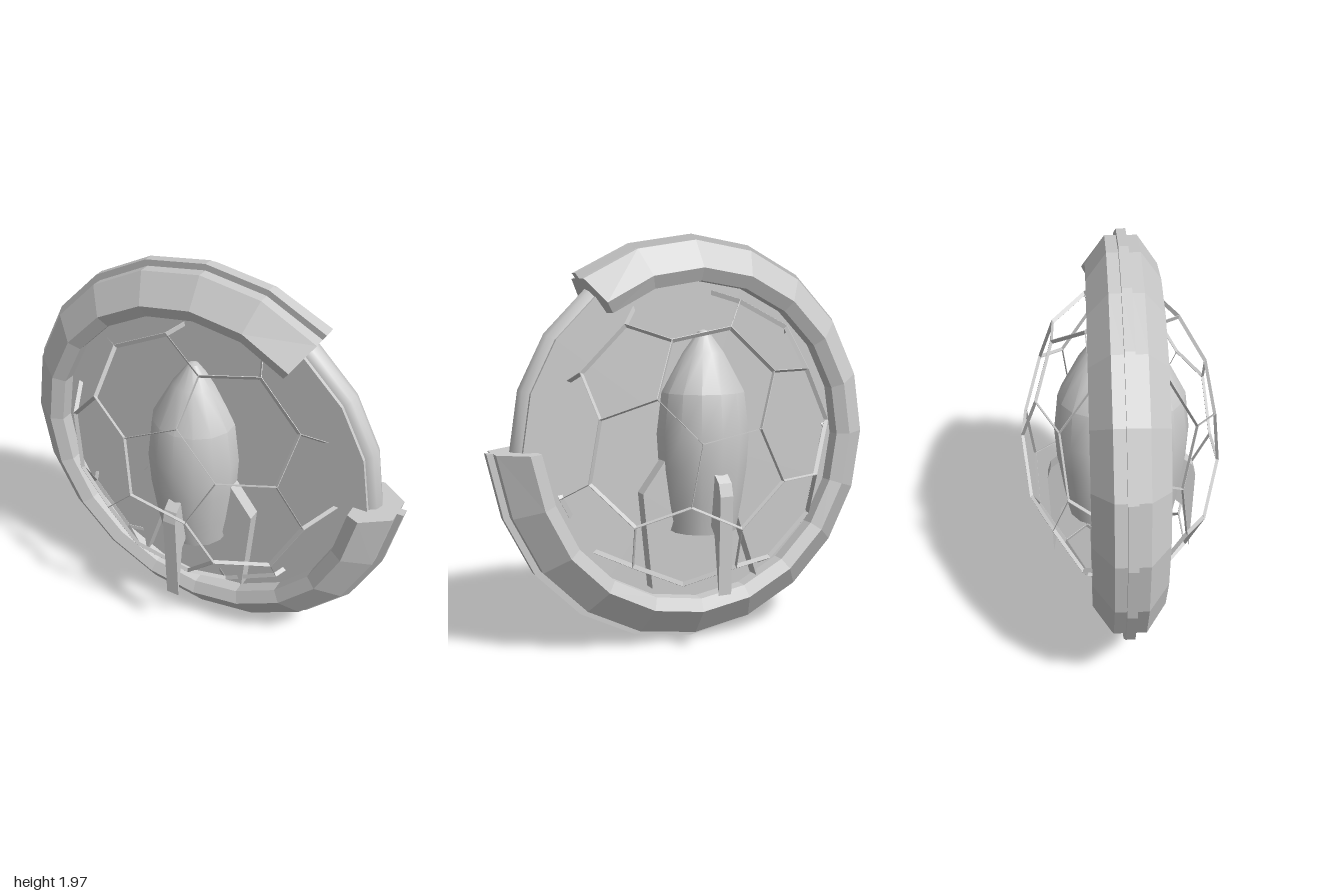
import * as THREE from 'three';
import { toCreasedNormals } from 'three/addons/utils/BufferGeometryUtils.js';

const STEP = Math.PI / 10;          // ring is a 20-sided circle
const mat = new THREE.MeshStandardMaterial({ color: 0xcccccc });
const flat = new THREE.MeshStandardMaterial({ color: 0xcccccc, flatShading: true });

function add(parent, name, geometry, material = flat) {
  const mesh = new THREE.Mesh(geometry, material);
  mesh.name = name;
  parent.add(mesh);
  return mesh;
}

// Open bevelled ring, swept from 54 to 360 degrees
function ringGeometry() {
  const half = [[0.985, 0.022], [0.955, 0.022], [0.955, 0.075], [0.825, 0.167], [0.765, 0.14]];
  const profile = [...half, ...half.slice().reverse().map(([r, z]) => [r, -z])];
  const n = profile.length, segs = 17, pos = [], index = [];
  for (let i = 0; i <= segs; i++) {
    const a = (3 + i) * STEP;
    const flare = i === 0 ? 1.1 : 1;              // ends swell slightly
    const shift = i === segs ? 0.022 : 0;
    for (const [r, z] of profile) {
      pos.push((r + shift) * Math.cos(a), (r + shift) * Math.sin(a), z * flare);
    }
  }
  for (let i = 0; i < segs; i++) {
    for (let j = 0; j < n; j++) {
      const k = (j + 1) % n;
      const a = i * n + j, b = a + n, c = (i + 1) * n + k, d = i * n + k;
      index.push(a, b, c, a, c, d);
    }
  }
  // End caps
  const faces = THREE.ShapeUtils.triangulateShape(profile.map(p => new THREE.Vector2(...p)), []);
  for (const [a, b, c] of faces) {
    index.push(a, b, c, segs * n + a, segs * n + c, segs * n + b);
  }
  const g = new THREE.BufferGeometry();
  g.setAttribute('position', new THREE.Float32BufferAttribute(pos, 3));
  g.setIndex(index);
  g.computeVertexNormals();
  return g;
}

// Cage of pentagons and hexagons, made by cutting the corners of an icosahedron
function buildCage() {
  const cage = new THREE.Group();
  cage.name = 'cage';
  const R = 0.73, c = 1 / Math.sqrt(5);
  const corners = [new THREE.Vector3(0, 0, 1)];
  for (let k = 0; k < 5; k++) {
    const a = THREE.MathUtils.degToRad(8 + 72 * k);
    corners.push(new THREE.Vector3(2 * c * Math.cos(a), 2 * c * Math.sin(a), c));
  }
  corners.push(...corners.map(v => v.clone().negate()));
  const tilt = new THREE.Euler(-0.18, 0.03, 0);
  corners.forEach(v => v.applyEuler(tilt));

  const near = (p, q) => p !== q && p.distanceTo(q) < 1.2;
  const third = (p, q) => p.clone().lerp(q, 1 / 3).setLength(R);
  // Thin strip standing edge-on to the surface
  const strip = (p, q) => {
    const along = q.clone().sub(p);
    const length = along.length();
    along.normalize();
    const out = p.clone().add(q).normalize();
    const side = new THREE.Vector3().crossVectors(along, out);
    const g = new THREE.BoxGeometry(length + 0.004, 0.022, 0.003);
    g.applyMatrix4(new THREE.Matrix4().makeBasis(along, out, side).setPosition(p.clone().lerp(q, 0.5)));
    add(cage, 'cageStrip', g);
  };
  corners.forEach((p, i) => corners.forEach((q, j) => {
    if (!near(p, q)) return;
    if (i < j) strip(third(p, q), third(q, p));
    corners.forEach((s, k) => {
      if (k > j && near(p, s) && near(q, s)) strip(third(p, q), third(p, s));
    });
  }));
  cage.scale.z = 0.645;
  cage.position.set(-0.013, 0.992, 0);
  return cage;
}

// Swept-back fin, drawn outward along +x
function finGeometry(points, thickness) {
  const shape = new THREE.Shape(points.map(p => new THREE.Vector2(...p)));
  return new THREE.ExtrudeGeometry(shape, { depth: thickness, bevelEnabled: false })
    .translate(0, 0, -thickness / 2);
}

// Rocket standing against the +z face of the plate
function buildRocket() {
  const rocket = new THREE.Group();
  rocket.name = 'rocket';
  const profile = [
    [0, 0.57], [0.165, 0.57], [0.192, 0.71], [0.217, 0.88], [0.227, 1.04],
    [0.203, 1.235], [0.1, 1.42], [0.025, 1.52], [0, 1.527],
  ].map(p => new THREE.Vector2(...p));
  const body = add(rocket, 'rocketBody', toCreasedNormals(new THREE.LatheGeometry(profile, 14), 0.5), mat);
  body.scale.z = 0.92;

  const sideFin = [[0.16, 0.66], [0.28, 0.31], [0.325, 0.77], [0.19, 0.95]];
  const frontFin = [[0.14, 0.63], [0.19, 0.58], [0.235, 0.3], [0.25, 0.77], [0.233, 0.83], [0.15, 0.9]];
  for (let k = 0; k < 3; k++) {
    const front = k === 1;
    const fin = add(rocket, 'fin', finGeometry(front ? frontFin : sideFin, 0.066));
    fin.rotation.y = (k - 2) * Math.PI / 2;
    if (front) fin.rotation.y = -Math.PI / 2;
  }
  rocket.position.set(-0.025, 0, 0.115);
  return rocket;
}

export function createModel() {
  const model = new THREE.Group();

  const wheel = new THREE.Group();
  wheel.name = 'wheel';
  wheel.position.set(-0.01, 0.988, 0.016);
  add(wheel, 'ring', ringGeometry());
  // Round tube bridging the gap in the ring
  add(wheel, 'gapTube', new THREE.TorusGeometry(0.838, 0.06, 10, 3, 3 * STEP), mat);
  // Thick plate filling the ring
  const plate = add(wheel, 'plate', new THREE.CylinderGeometry(0.855, 0.855, 0.15, 20));
  plate.geometry.rotateX(Math.PI / 2);
  model.add(wheel);

  // One rocket on each face of the plate
  const rockets = new THREE.Group();
  rockets.name = 'rockets';
  rockets.position.z = 0.008;
  const back = buildRocket();
  back.position.z *= -1;
  back.scale.z = -1;
  rockets.add(buildRocket(), back);

  model.add(buildCage(), rockets);
  return model;
}
